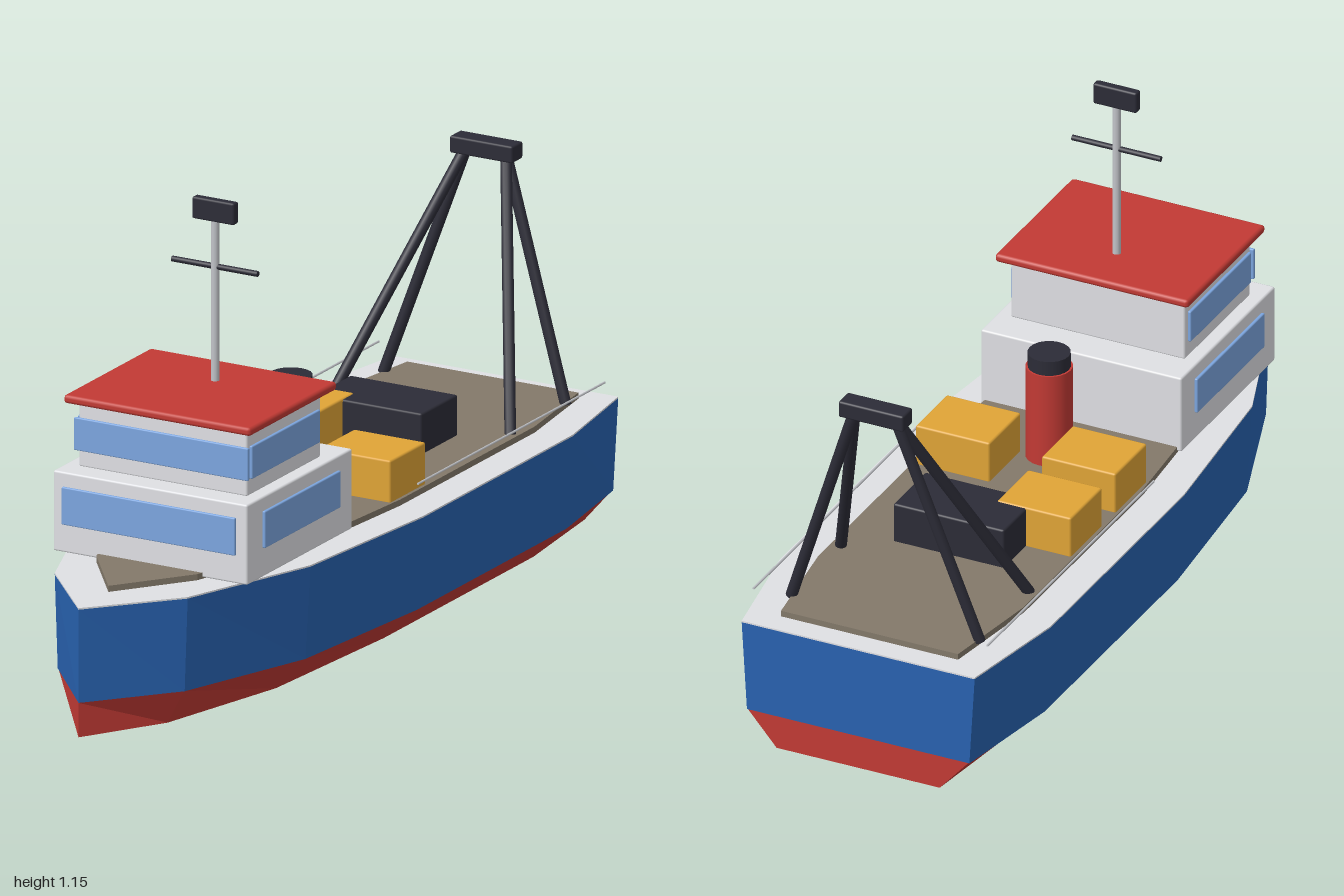
import * as THREE from 'three';
import { RoundedBoxGeometry } from 'three/addons/geometries/RoundedBoxGeometry.js';

const paint = (name, color) => {
  const m = new THREE.MeshStandardMaterial({ color });
  m.name = name;
  return m;
};

export function createModel() {
  const boat = new THREE.Group();
  boat.name = 'workBoat';
  const blue = paint('hull blue', 0x2862b0);
  const red = paint('signal red', 0xc23a34);
  const grey = paint('light grey', 0xdfe0e4);
  const brown = paint('deck brown', 0x83796a);
  const glass = paint('window blue', 0x7ca6e0);
  const amber = paint('crate amber', 0xe0a436);
  const black = paint('dark equipment', 0x2c2c37);
  const steel = paint('mast steel', 0xc2c4c9);

  const add = (name, geometry, material) => {
    const mesh = new THREE.Mesh(geometry, material);
    mesh.name = name;
    boat.add(mesh);
    return mesh;
  };

  // Box given by its limits on each axis, with slightly eased edges
  const box = (name, material, x0, x1, y0, y1, z0, z1, ease = 0.005) => {
    const geometry = new RoundedBoxGeometry(x1 - x0, y1 - y0, z1 - z0, 1, ease);
    add(name, geometry, material).position.set((x0 + x1) / 2, (y0 + y1) / 2, (z0 + z1) / 2);
  };

  // Straight round bar between two points
  const bar = (name, material, from, to, radius, sides = 10) => {
    const a = new THREE.Vector3(...from), b = new THREE.Vector3(...to);
    const dir = b.clone().sub(a);
    const mesh = add(name, new THREE.CylinderGeometry(radius, radius, dir.length(), sides), material);
    mesh.position.copy(a).add(b).multiplyScalar(0.5);
    mesh.quaternion.setFromUnitVectors(new THREE.Vector3(0, 1, 0), dir.normalize());
  };

  // Plan of the hull: half width and z from stern to bow
  const half = [[0.305, -1], [0.355, -0.7], [0.355, 0], [0.31, 0.45], [0.18, 0.8]];
  const plan = [...half, [0, 1], ...half.map(([x, z]) => [-x, z]).reverse()];

  // Slab with the hull plan, its width scaled separately at bottom and top
  const slab = (name, material, y0, y1, bottom, top, zScale = 1, zShift = 0) => {
    const shape = new THREE.Shape(plan.map(([x, z]) => new THREE.Vector2(x, -(z * zScale + zShift))));
    const geometry = new THREE.ExtrudeGeometry(shape, { depth: y1 - y0, bevelEnabled: false });
    geometry.rotateX(-Math.PI / 2).translate(0, y0, 0);
    const p = geometry.attributes.position;
    for (let i = 0; i < p.count; i++) {
      const t = (p.getY(i) - y0) / (y1 - y0);
      p.setX(i, p.getX(i) * (bottom + (top - bottom) * t));
    }
    geometry.computeVertexNormals();
    add(name, geometry, material);
  };

  // Hull and decks
  slab('lowerHull', red, 0, 0.085, 0.7, 0.945);
  slab('upperHull', blue, 0.085, 0.315, 0.955, 1);
  slab('gunwale', grey, 0.315, 0.319, 1, 1);
  slab('deck', brown, 0.317, 0.334, 0.76, 0.76, 0.9, -0.04);

  // Two-storey wheelhouse
  box('lowerCabin', grey, -0.263, 0.263, 0.322, 0.52, 0.172, 0.665);
  box('upperCabin', grey, -0.228, 0.228, 0.518, 0.682, 0.26, 0.605);
  box('roof', red, -0.253, 0.253, 0.678, 0.699, 0.225, 0.635, 0.008);
  box('lowerFrontWindow', glass, -0.235, 0.235, 0.393, 0.486, 0.666, 0.675, 0.003);
  box('upperFrontWindow', glass, -0.236, 0.236, 0.56, 0.641, 0.606, 0.615, 0.003);
  for (const s of [-1, 1]) {
    const side = (name, x, y0, y1, z0, z1) =>
      box(name, glass, s * x - 0.0045, s * x + 0.0045, y0, y1, z0, z1, 0.003);
    side('lowerSideWindow', 0.267, 0.395, 0.486, 0.24, 0.595);
    side('upperSideWindow', 0.232, 0.56, 0.641, 0.275, 0.595);
  }

  // Mast with crossbar and radar
  bar('mast', steel, [0, 0.695, 0.36], [0, 1.095, 0.36], 0.0105);
  bar('mastCrossbar', black, [-0.116, 0.98, 0.36], [0.116, 0.98, 0.36], 0.007);
  box('radar', black, -0.057, 0.057, 1.092, 1.146, 0.348, 0.372);

  // Funnel
  bar('funnel', red, [0, 0.33, 0.005], [0, 0.575, 0.005], 0.056, 20);
  bar('funnelCap', black, [0, 0.575, 0.005], [0, 0.612, 0.005], 0.051, 20);

  // Deck cargo
  for (const [x, z] of [[-0.165, -0.325], [-0.165, -0.09], [0.165, -0.09]]) {
    box('crate', amber, x - 0.097, x + 0.097, 0.33, 0.437, z - 0.083, z + 0.083);
  }
  box('winch', black, -0.145, 0.145, 0.33, 0.434, -0.525, -0.355);

  // Stern gantry and side rails
  box('gantryHead', black, -0.085, 0.085, 0.89, 0.932, -0.935, -0.883);
  for (const s of [-1, 1]) {
    bar('gantryRearLeg', black, [s * 0.247, 0.33, -0.855], [s * 0.053, 0.905, -0.91], 0.014);
    bar('gantryFrontLeg', black, [s * 0.247, 0.33, -0.595], [s * 0.053, 0.905, -0.91], 0.014);
    bar('sideRail', steel, [s * 0.306, 0.373, -0.935], [s * 0.306, 0.373, -0.06], 0.003, 6);
  }
  return boat;
}
